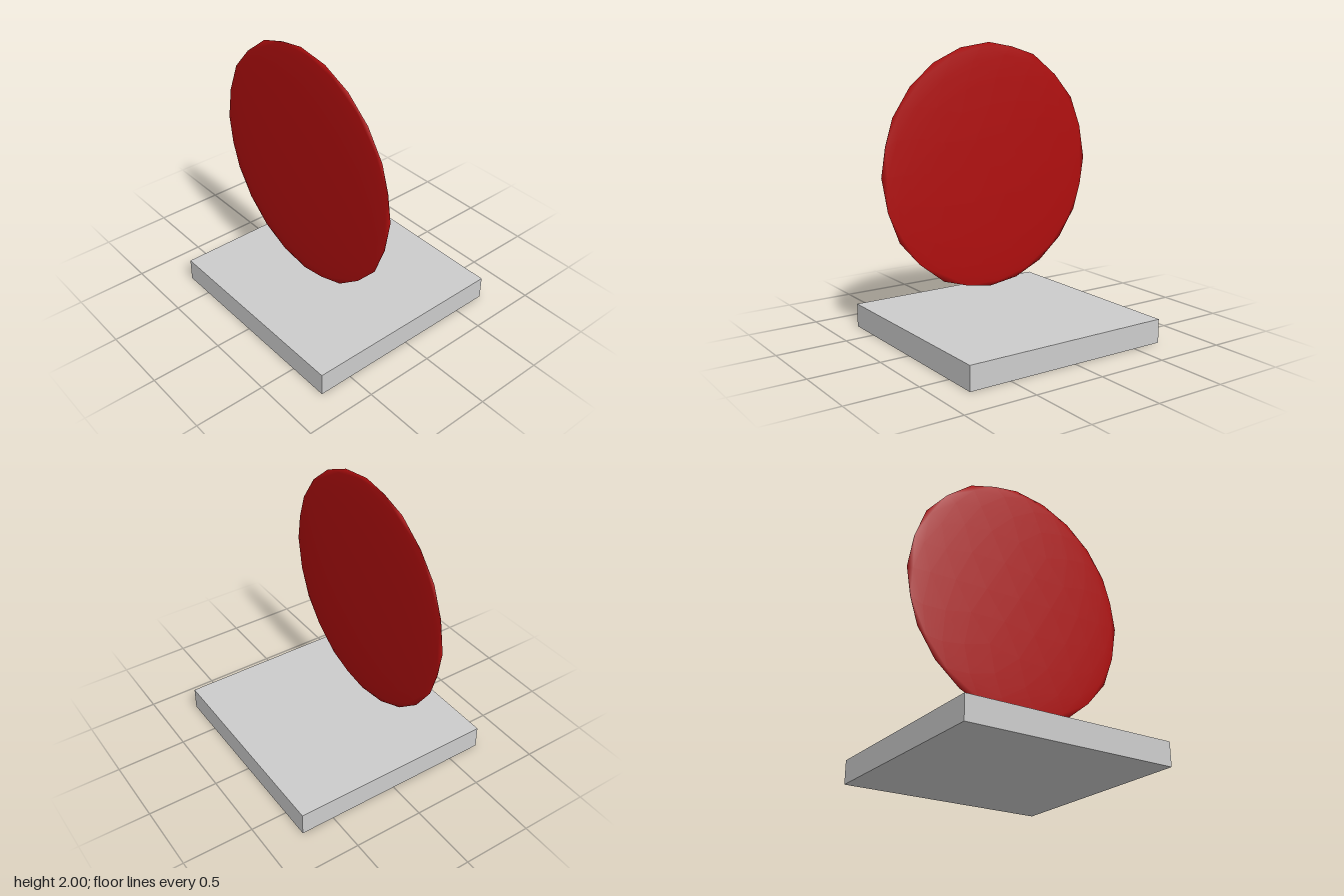
import * as THREE from 'three';

const red = new THREE.MeshStandardMaterial({ color: 0xb00e0e });
red.name = 'red';
const grey = new THREE.MeshStandardMaterial({ color: 0xcccccc });
grey.name = 'lightGrey';

// Sphere of triangles with a vertex at each pole, each face halved repeatedly
function icoSphere(levels) {
  const ring = (y, turn) => Array.from({ length: 5 }, (_, k) => {
    const a = (k * 2 * Math.PI) / 5 + turn;
    const r = 2 / Math.sqrt(5);
    return new THREE.Vector3(r * Math.cos(a), y, r * Math.sin(a));
  });
  const h = 1 / Math.sqrt(5);
  const top = new THREE.Vector3(0, 1, 0);
  const bottom = new THREE.Vector3(0, -1, 0);
  const upper = ring(h, 0);
  const lower = ring(-h, Math.PI / 5);

  let faces = [];
  for (let k = 0; k < 5; k++) {
    const n = (k + 1) % 5;
    faces.push(
      [top, upper[n], upper[k]],
      [upper[k], upper[n], lower[k]],
      [lower[n], lower[k], upper[n]],
      [lower[k], lower[n], bottom]
    );
  }

  const mid = (a, b) => a.clone().add(b).normalize();
  for (let i = 0; i < levels; i++) {
    faces = faces.flatMap(([a, b, c]) => {
      const ab = mid(a, b), bc = mid(b, c), ca = mid(c, a);
      return [[a, ab, ca], [ab, b, bc], [ca, bc, c], [ab, bc, ca]];
    });
  }

  const geometry = new THREE.BufferGeometry().setFromPoints(faces.flat());
  // Smooth normals: on a unit sphere they equal the positions
  geometry.setAttribute('normal', geometry.getAttribute('position').clone());
  return geometry;
}

export function createModel() {
  const model = new THREE.Group();
  model.name = 'discAboveBase';

  // Square slab on the ground
  const base = new THREE.Mesh(new THREE.BoxGeometry(1.51, 0.165, 1.48), grey);
  base.name = 'base';
  base.position.set(0.04, 0.0825, 0);
  model.add(base);

  // Sphere flattened into a thin upright disc, floating above the slab
  const disc = new THREE.Mesh(icoSphere(2).scale(0.84, 0.857, 0.022), red);
  disc.name = 'disc';
  disc.position.set(0, 1.143, 0.236);
  model.add(disc);

  return model;
}
